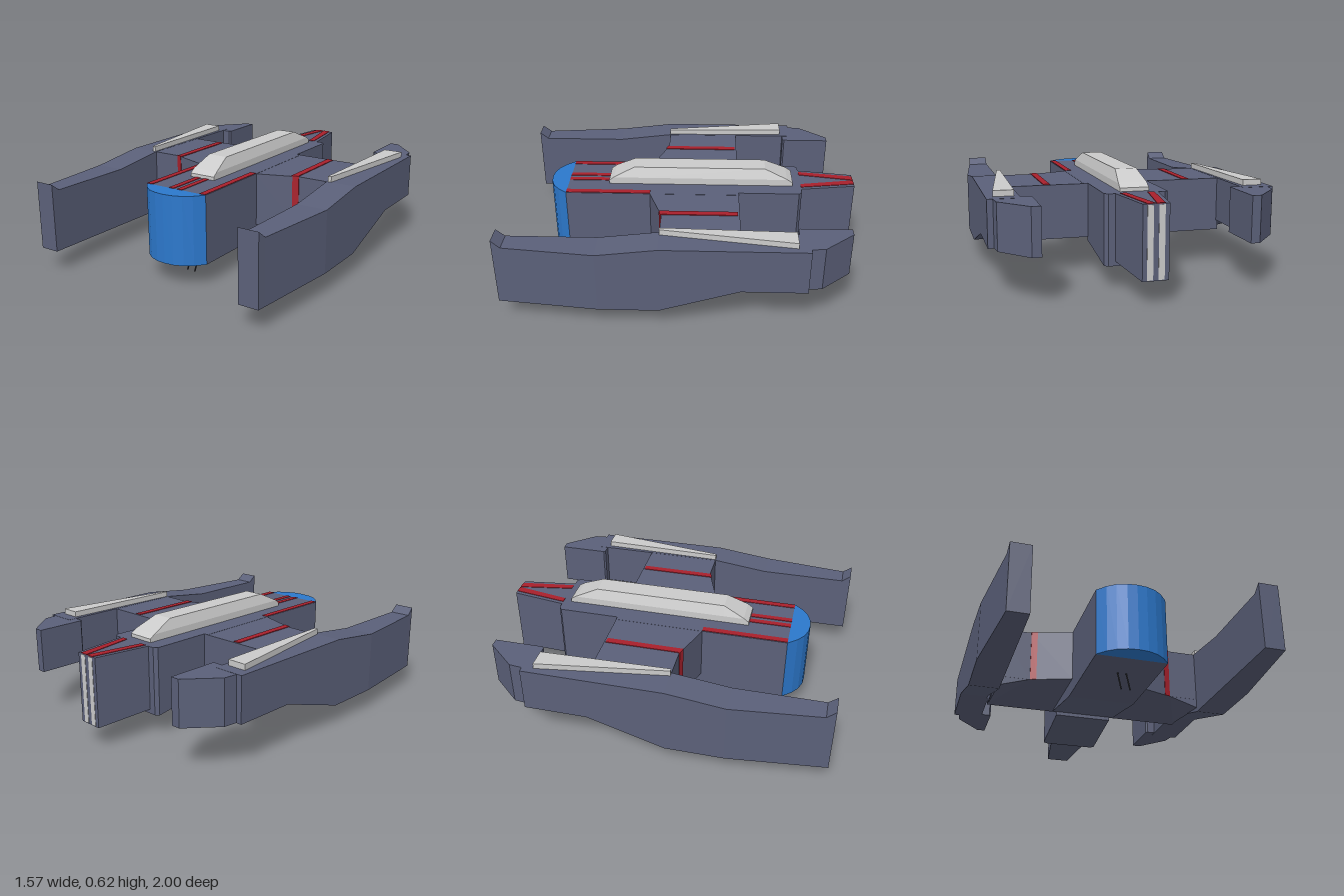
import * as THREE from 'three';
import { ConvexGeometry } from 'three/addons/geometries/ConvexGeometry.js';

const paint = (name, color) => {
  const m = new THREE.MeshStandardMaterial({ color });
  m.name = name;
  return m;
};

// Skins a row of cross-sections, ordered front to back, with crisp facets.
// Each ring is { z, points: [[x, y], ...] }, anticlockwise seen from the front.
function loft(rings) {
  const pos = [];
  const put = (r, i) => pos.push(r.points[i][0], r.points[i][1], r.z);
  const n = rings[0].points.length;
  const first = rings[0], last = rings[rings.length - 1];
  for (let i = 1; i < n - 1; i++) {
    put(first, 0); put(first, i); put(first, i + 1);
    put(last, 0); put(last, i + 1); put(last, i);
  }
  for (let k = 0; k < rings.length - 1; k++) {
    const a = rings[k], b = rings[k + 1];
    for (let i = 0; i < n; i++) {
      const j = (i + 1) % n;
      put(a, i); put(b, i); put(b, j);
      put(a, i); put(b, j); put(a, j);
    }
  }
  const g = new THREE.BufferGeometry();
  g.setAttribute('position', new THREE.Float32BufferAttribute(pos, 3));
  g.computeVertexNormals();
  return g;
}

// Rectangular cross-section
const rect = (z, x0, x1, y0, y1) => ({ z, points: [[x0, y0], [x1, y0], [x1, y1], [x0, y1]] });

// Upright slab from an outline of [x, z] points
function slab(outline, y0, y1) {
  const shape = new THREE.Shape(outline.map(([x, z]) => new THREE.Vector2(x, -z)));
  const g = new THREE.ExtrudeGeometry(shape, { depth: y1 - y0, bevelEnabled: false });
  return g.rotateX(-Math.PI / 2).translate(0, y0, 0);
}

export function createModel() {
  const hull = paint('slateHull', 0x5b6079);
  const red = paint('redStripe', 0xa8202c);
  const blue = paint('blueNose', 0x2c78cc);
  const grey = paint('paleGrey', 0xcbcbcb);
  const dark = paint('darkMetal', 0x2b2b30);

  const model = new THREE.Group();
  model.name = 'spacecraft';
  const add = (name, geometry, material) => {
    const m = new THREE.Mesh(geometry, material);
    m.name = name;
    model.add(m);
    return m;
  };
  const TOP = 0.515, LOW = 0.125;
  const SKIN = TOP + 0.003;

  // Central fuselage with its rising belly
  add('fuselage', loft([
    rect(0.69, -0.2, 0.2, LOW, TOP),
    rect(0.12, -0.2, 0.2, LOW, TOP),
    rect(-0.315, -0.2, 0.2, 0.205, TOP),
  ]), hull);

  // Rounded nose
  const half = [[0.2, 0.69], [0.155, 0.742], [0.11, 0.775], [0.055, 0.795]];
  add('nose', slab([...half, [0, 0.8], ...half.map(([x, z]) => [-x, z]).reverse()], LOW, TOP), blue);

  // Wing slab
  const wing = [[0.2, 0.2], [0.435, 0.12], [0.62, 0.12], [0.62, -0.315]];
  add('wing', slab([...wing, ...wing.map(([x, z]) => [-x, z]).reverse()], 0.205, TOP - 0.001), hull);

  // Rear body with clipped corners, then the tapering tail
  add('rearBody', loft([
    rect(-0.3, -0.175, 0.175, 0.18, TOP),
    rect(-0.36, -0.175, 0.175, 0.172, TOP),
    rect(-0.665, -0.175, 0.175, LOW, TOP),
    rect(-0.682, -0.155, 0.155, LOW, TOP),
  ]), hull);
  add('tail', loft([
    rect(-0.66, -0.12, 0.12, 0.152, TOP),
    rect(-1, -0.07, 0.07, LOW, TOP),
  ]), hull);

  // Long spine canopy, its upper edges chamfered
  const spine = [[0.45, 0.535], [0.42, 0.558], [0.3, 0.615], [-0.47, 0.615], [-0.6, 0.558], [-0.635, 0.535]];
  add('spine', loft(spine.map(([z, h]) => {
    const side = Math.min(h - 0.003, 0.555);
    const w = 0.08 - 0.02 * Math.max(0, (h - 0.555) / 0.06);
    return { z, points: [[-0.08, 0.51], [0.08, 0.51], [0.08, side], [w, h], [-w, h], [-0.08, side]] };
  })), grey);

  for (const s of [1, -1]) {
    const side = s > 0 ? 'left' : 'right';
    const flip = (pts) => pts.map(([x, z]) => [s * x, z]);
    const pair = (z, a, b, y0, y1) => rect(z, Math.min(s * a, s * b), Math.max(s * a, s * b), y0, y1);

    // Side pod with upturned front lip
    add(side + 'Pod', loft([
      pair(1, 0.61, 0.725, LOW, TOP),
      pair(0.95, 0.61, 0.73, LOW, 0.475),
      pair(0.45, 0.61, 0.785, LOW, 0.475),
      pair(0.12, 0.61, 0.785, LOW, TOP),
      pair(-0.315, 0.61, 0.785, 0.26, TOP),
      pair(-0.675, 0.61, 0.785, 0.26, TOP),
    ]), hull);

    // Inward-hooked rear end of the pod
    add(side + 'PodHook', slab(flip([
      [0.62, -0.625], [0.755, -0.66], [0.745, -0.75], [0.6, -0.915],
      [0.55, -0.915], [0.55, -0.635], [0.56, -0.625],
    ]), 0.261, TOP - 0.001), hull);

    // Sloping brace between wing underside and pod
    add(side + 'Brace', new ConvexGeometry([
      [0.435, 0.207, 0.119], [0.615, 0.207, 0.119], [0.615, 0.15, 0.119], [0.615, 0.207, -0.3],
    ].map(([x, y, z]) => new THREE.Vector3(s * x, y, z))), hull);

    // Raised wedge on the pod
    add(side + 'PodWedge', slab(flip([
      [0.617, 0.12], [0.637, 0.12], [0.747, -0.61], [0.637, -0.61],
    ]), 0.51, 0.547), grey);

    // Painted stripes on top of wing, fuselage and tail
    const stripes = {
      WingStripe: [[0.392, 0.134], [0.43, 0.121], [0.43, -0.305], [0.392, -0.305]],
      EdgeStripe: [[0.16, 0.69], [0.196, 0.69], [0.196, 0.2], [0.16, 0.2]],
      NoseStripe: [[0.012, 0.69], [0.044, 0.69], [0.044, 0.44], [0.012, 0.44]],
      TailStripe: [[0.058, -0.683], [0.094, -0.683], [0.047, -1], [0.002, -1]],
    };
    for (const [name, pts] of Object.entries(stripes)) {
      add(side + name, slab(flip(pts), TOP - 0.002, SKIN), red);
    }

    // Stripe running down the wing's leading edge
    add(side + 'WingEdgeStripe', slab(flip([
      [0.4, 0.136], [0.435, 0.124], [0.435, 0.118], [0.4, 0.13],
    ]), 0.205, SKIN), red);

    // Vertical glow strip on the tail's rear face
    const strip = add(side + 'TailStrip', new THREE.BoxGeometry(0.032, 0.38, 0.006), grey);
    strip.position.set(s * 0.03, 0.32, -0.999);

    // Slanted antenna below the nose
    const a = new THREE.Vector3(s * 0.025, 0.135, 0.505);
    const b = new THREE.Vector3(s * 0.025, 0.001, 0.57);
    const rod = add(side + 'Antenna', new THREE.CylinderGeometry(0.004, 0.004, a.distanceTo(b), 6), dark);
    rod.position.copy(a).lerp(b, 0.5);
    rod.quaternion.setFromUnitVectors(new THREE.Vector3(0, 1, 0), a.clone().sub(b).normalize());
  }
  return model;
}
